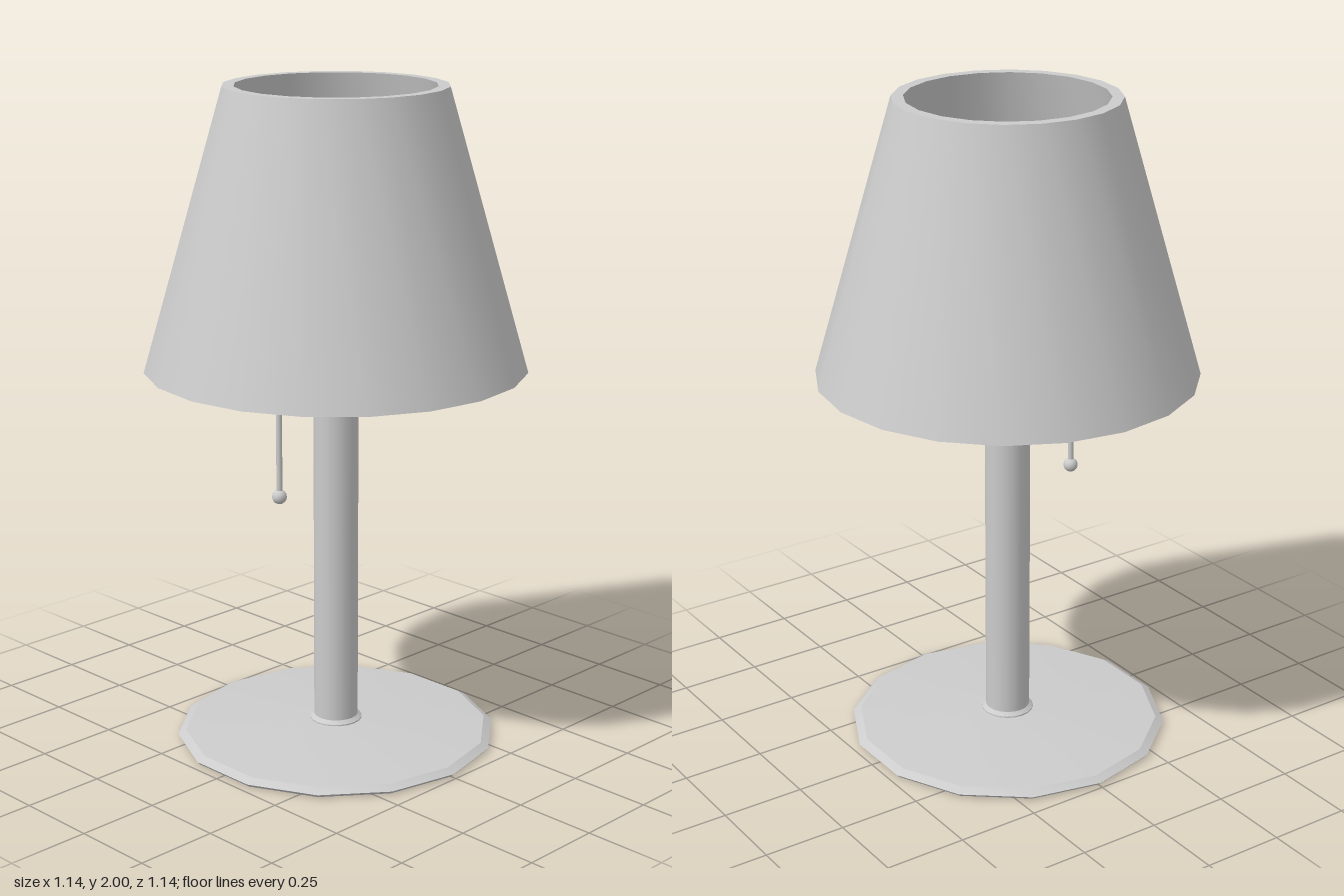
import * as THREE from 'three';
import { toCreasedNormals } from 'three/addons/utils/BufferGeometryUtils.js';

export function createModel() {
  const lamp = new THREE.Group();
  lamp.name = 'tableLamp';
  const material = new THREE.MeshStandardMaterial({ color: 0xcccccc });
  const doubleSided = new THREE.MeshStandardMaterial({ color: 0xcccccc, side: THREE.DoubleSide });

  const add = (name, geometry, y = 0, x = 0, mat = material) => {
    const mesh = new THREE.Mesh(geometry, mat);
    mesh.name = name;
    mesh.position.set(x, y, 0);
    lamp.add(mesh);
    return mesh;
  };

  // Revolve [radius, height] points, keeping profile corners sharp
  const revolve = (points, sides) => toCreasedNormals(
    new THREE.LatheGeometry(points.map(([r, y]) => new THREE.Vector2(r, y)), sides), 0.48);

  const discY = 1.585;

  // Low conical foot with a bevelled rim
  add('base', revolve([[0, 0], [0.48, 0], [0.49, 0.01], [0.466, 0.024], [0.08, 0.046], [0, 0.046]], 14));

  // Small collar where the pole meets the foot
  add('collar', revolve([[0.08, 0.042], [0.08, 0.05], [0.068, 0.06]], 20));

  // Pole up to the disc inside the shade
  const poleHeight = discY - 0.03;
  add('pole', new THREE.CylinderGeometry(0.068, 0.068, poleHeight, 20), 0.03 + poleHeight / 2);

  // Thick-walled tapered shade, open at both ends
  add('shade', revolve([[0.57, 1.17], [0.33, 2], [0.295, 2], [0.512, 1.17], [0.57, 1.17]], 20));

  // Disc closing the shade halfway up
  const disc = new THREE.CircleGeometry(0.404, 20);
  disc.rotateX(-Math.PI / 2);
  add('shadeDisc', disc, discY, 0, doubleSided);

  // Pull cord with a ball end, hanging on the right
  const cordX = -0.235, ballY = 0.815;
  add('pullCord', new THREE.CylinderGeometry(0.009, 0.009, discY - ballY, 10), (discY + ballY) / 2, cordX);
  add('pullBall', new THREE.SphereGeometry(0.022, 14, 10), ballY, cordX);

  return lamp;
}
